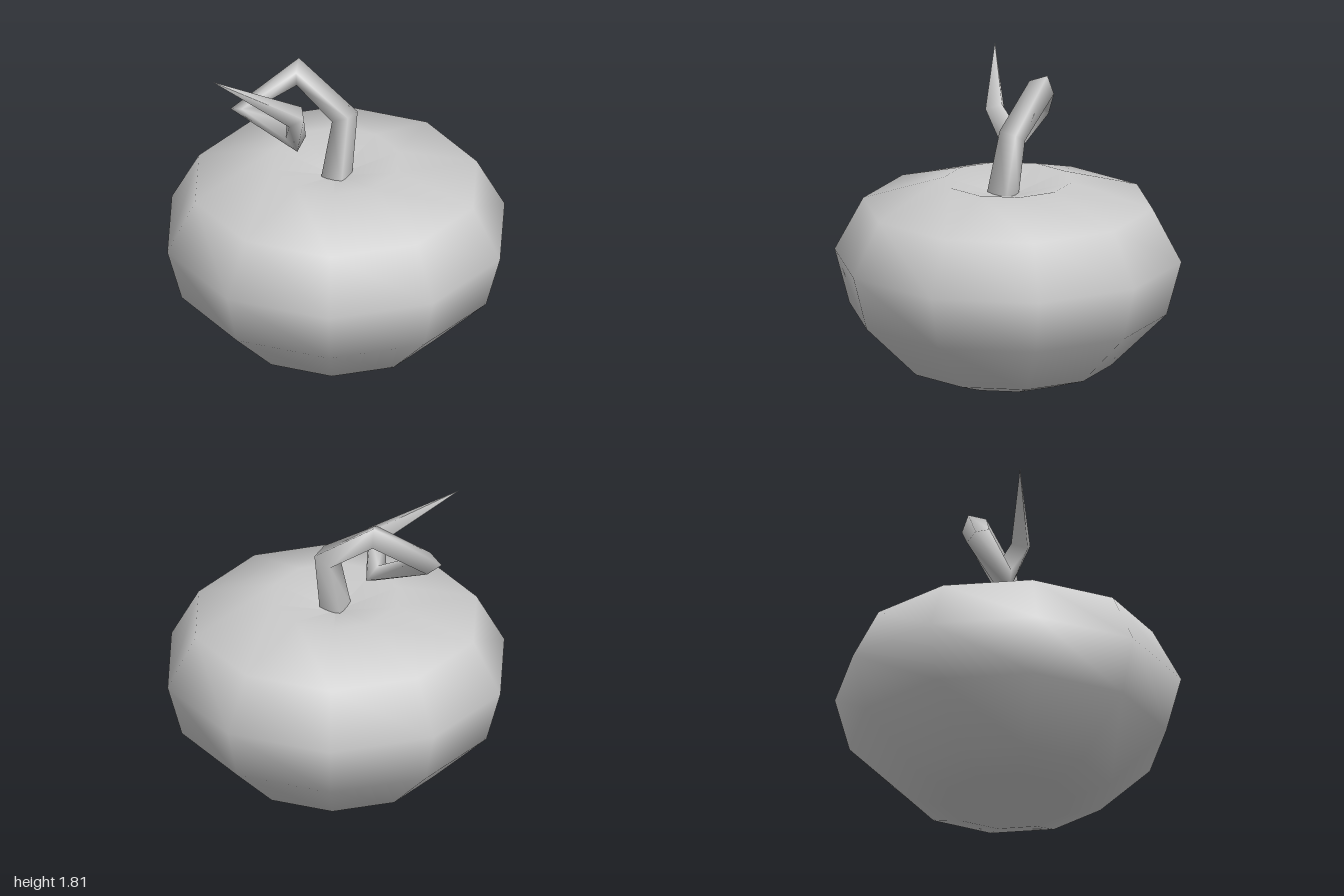
import * as THREE from 'three';

const material = new THREE.MeshStandardMaterial({ color: 0xcccccc, side: THREE.DoubleSide });

// Tapering square tube through [x, y, z, radius] stations, with smooth normals
function sweptTube(stations, sides, startNormal) {
  const pts = stations.map(([x, y, z]) => new THREE.Vector3(x, y, z));
  const positions = [], index = [];
  const normal = startNormal.clone();
  pts.forEach((p, i) => {
    const tangent = new THREE.Vector3();
    if (i > 0) tangent.add(p.clone().sub(pts[i - 1]).normalize());
    if (i < pts.length - 1) tangent.add(pts[i + 1].clone().sub(p).normalize());
    tangent.normalize();
    // carry the previous frame along the path
    normal.addScaledVector(tangent, -normal.dot(tangent)).normalize();
    const binormal = tangent.clone().cross(normal);
    for (let j = 0; j < sides; j++) {
      const a = (j / sides) * Math.PI * 2, r = stations[i][3];
      const v = p.clone()
        .addScaledVector(normal, r * Math.cos(a))
        .addScaledVector(binormal, r * Math.sin(a));
      positions.push(v.x, v.y, v.z);
      if (i < pts.length - 1) {
        const k = (j + 1) % sides, lo = i * sides, hi = lo + sides;
        index.push(lo + j, lo + k, hi + j, lo + k, hi + k, hi + j);
      }
    }
  });
  const geometry = new THREE.BufferGeometry();
  geometry.setAttribute('position', new THREE.Float32BufferAttribute(positions, 3));
  geometry.setIndex(index);
  geometry.computeVertexNormals();
  return geometry;
}

export function createModel() {
  const group = new THREE.Group();

  // Squat ten-sided body with a shallow dimple under the stem
  const profile = [
    [0, 0], [0.36, 0.04], [0.595, 0.12], [0.915, 0.435],
    [1, 0.75], [0.835, 1.06], [0.37, 1.2], [0, 1.1],
  ].map(([r, y]) => new THREE.Vector2(r, y));
  const body = new THREE.Mesh(
    new THREE.LatheGeometry(profile, 10, THREE.MathUtils.degToRad(-1.75)), material);
  body.name = 'body';
  group.add(body);

  // Curling stem that ends in a pointed tendril
  const path = [
    [0.0, 1.08, 0.035, 0.095],
    [0.05, 1.475, -0.03, 0.08],
    [-0.22, 1.69, -0.17, 0.08],
    [-0.53, 1.48, -0.11, 0.075],
    [-0.23, 1.35, 0.0, 0.08],
    [-0.23, 1.55, 0.1, 0.07],
    [-0.7, 1.81, 0.15, 0.001],
  ];
  const stem = new THREE.Mesh(
    sweptTube(path, 4, new THREE.Vector3(0.3, 0, 0.95)), material);
  stem.name = 'stem';
  group.add(stem);

  return group;
}
